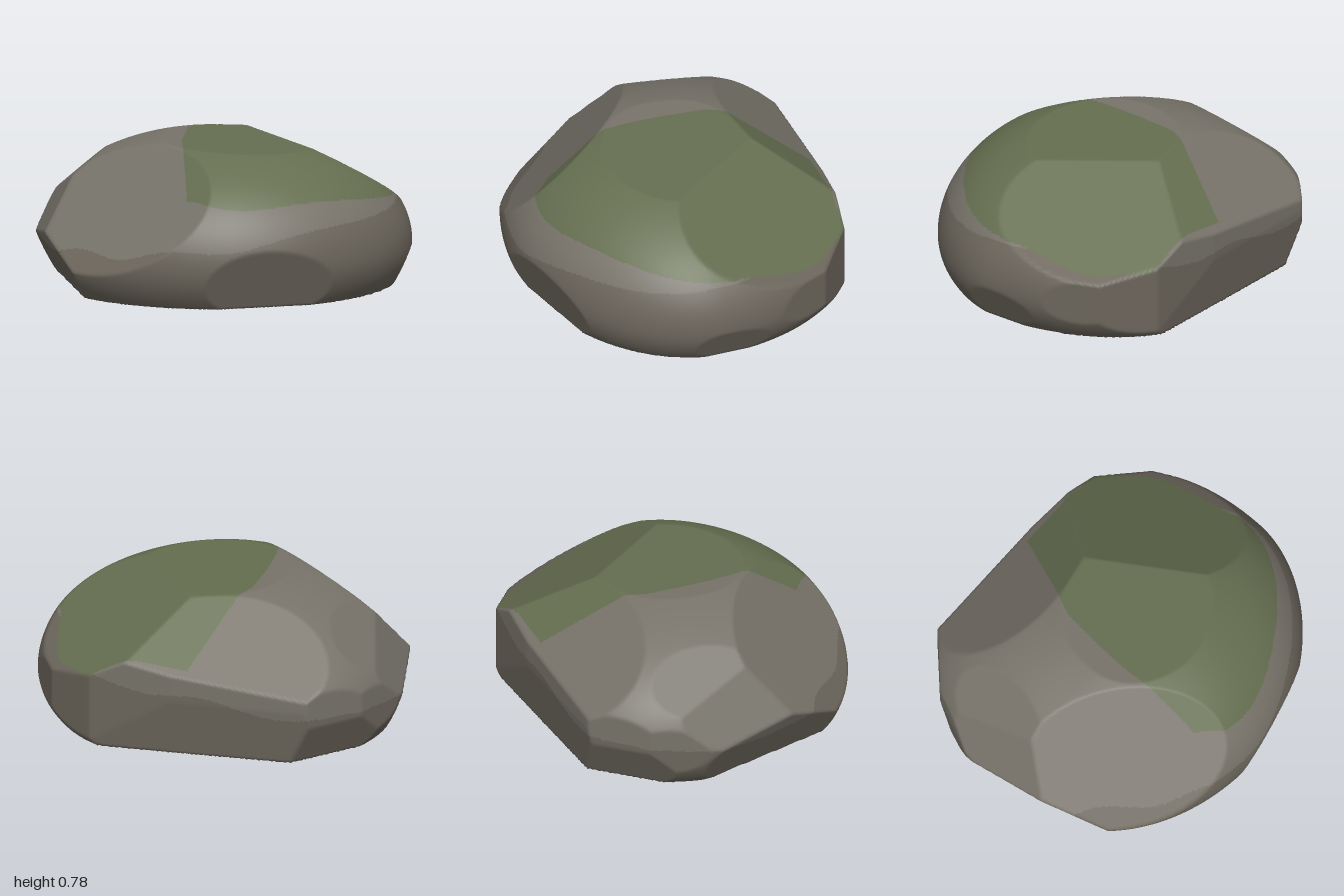
import * as THREE from 'three';
import { mergeVertices } from 'three/addons/utils/BufferGeometryUtils.js';

const CENTER = new THREE.Vector3(0, 0.22, 0);

// Flat chips cut from the boulder: outward normal, then a point on the cut
const CUTS = [
  [[0, -1, 0], [0, 0, 0]],                    // resting face
  [[0.05, 1, 0], [0, 0.763, 0]],              // flattened crown
  [[0, 0, -1], [0, 0.4, -0.85]],              // back
  [[0, -0.13, -0.99], [0, 0, -0.81]],         // back, undercut
  [[0.08, 0, -1], [0.3, 0.3, -0.836]],        // back, left half
  [[-0.09, 0.78, -0.6], [0.3, 0.475, -0.85]],     // rear slope
  [[0.434, 0.859, -0.27], [0.88, 0.475, -0.1]],   // mossy slope
  [[-0.496, 0.682, 0.538], [-0.61, 0.685, 0.03]], // front slope on the right
  [[-0.64, 0.755, -0.12], [-0.86, 0.485, -0.25]], // rear slope on the right
  [[-0.872, 0.489, 0.03], [-1, 0.235, -0.25]],    // right flank
  [[-0.86, -0.45, 0.2], [-0.9, 0, -0.27]],    // undercut on the right
  [[0.294, -0.33, 1], [0.3, 0.33, 0.79]],     // front undercut
  [[0.9, -0.43, 0], [0.9, 0, 0]],             // undercut on the left
  [[0.61, 0, -0.79], [0.6, 0.3, -0.79]],      // rear corner on the left
  [[0.894, 0, -0.447], [0.95, 0.2, -0.36]],   // rear corner on the left, outer side
  [[-0.92, 0, -0.4], [-1, 0.2, -0.3]],        // rear corner on the right, outer side
  [[-0.707, 0, -0.707], [-0.66, 0.22, -0.81]],    // rear corner on the right
  [[-0.65, -0.4, -0.65], [-0.66, 0.22, -0.81]],   // rear corner undercut
].map(([n, p]) => {
  const normal = new THREE.Vector3(...n).normalize();
  return { normal, dist: normal.dot(new THREE.Vector3(...p).sub(CENTER)) };
});

// Distance from the centre to the rounded body, in direction d
function bodyRadius(d) {
  const back = d.z < 0, right = d.x < 0;
  const p = back ? (right ? 2.4 : 2.2) : (right ? 2.05 : 1.85);
  const x = Math.abs(d.x) / (right ? 1.02 : 1);
  const z = Math.abs(d.z) / (back ? 1.05 : 0.85);
  const y = d.y / (d.y < 0 ? 0.51 : 0.595);
  const flat = Math.pow(Math.pow(x, p) + Math.pow(z, p), 1 / p);
  return 1 / Math.hypot(flat, y);
}

// Rounded body, trimmed by every chip
function boulderGeometry() {
  let geo = new THREE.IcosahedronGeometry(1, 79);
  geo.deleteAttribute('normal');
  geo.deleteAttribute('uv');
  geo = mergeVertices(geo, 1e-5);
  const pos = geo.attributes.position;
  const d = new THREE.Vector3();
  for (let i = 0; i < pos.count; i++) {
    d.fromBufferAttribute(pos, i).normalize();
    let r = bodyRadius(d);
    for (const { normal, dist } of CUTS) {
      const facing = normal.dot(d);
      if (facing > 0) r = Math.min(r, dist / facing);
    }
    d.multiplyScalar(r).add(CENTER);
    pos.setXYZ(i, d.x, d.y, d.z);
  }
  geo.computeVertexNormals();
  return geo;
}

// Which surface covers a given spot
function coverAt({ x, y, z }) {
  const wobble = 0.02 * Math.sin(9 * x + 5 * z);
  const mossEdge = -0.2 + 0.45 * Math.max(0, -z - 0.3);
  if (z > -0.81 && y > 0.46 + 0.12 * z + wobble && x > mossEdge + wobble) return 'moss';
  return y < 0.33 + 0.12 * x + wobble ? 'earthyBase' : 'bareStone';
}

export function createModel() {
  const group = new THREE.Group();
  group.name = 'boulder';
  const geo = boulderGeometry();
  const pos = geo.attributes.position;
  const faces = { bareStone: [], earthyBase: [], moss: [] };
  const colors = { bareStone: 0x77736a, earthyBase: 0x6b655b, moss: 0x656e50 };

  // Sort the faces by cover; shared normals keep the seams smooth
  const mid = new THREE.Vector3(), v = new THREE.Vector3();
  for (let i = 0; i < geo.index.count; i += 3) {
    const tri = [0, 1, 2].map((k) => geo.index.getX(i + k));
    mid.set(0, 0, 0);
    tri.forEach((k) => mid.add(v.fromBufferAttribute(pos, k)));
    faces[coverAt(mid.divideScalar(3))].push(...tri);
  }

  for (const name of Object.keys(faces)) {
    const part = new THREE.BufferGeometry();
    part.setAttribute('position', pos);
    part.setAttribute('normal', geo.attributes.normal);
    part.setIndex(faces[name]);
    const mesh = new THREE.Mesh(part, new THREE.MeshStandardMaterial({ color: colors[name] }));
    mesh.name = name;
    group.add(mesh);
  }
  return group;
}
